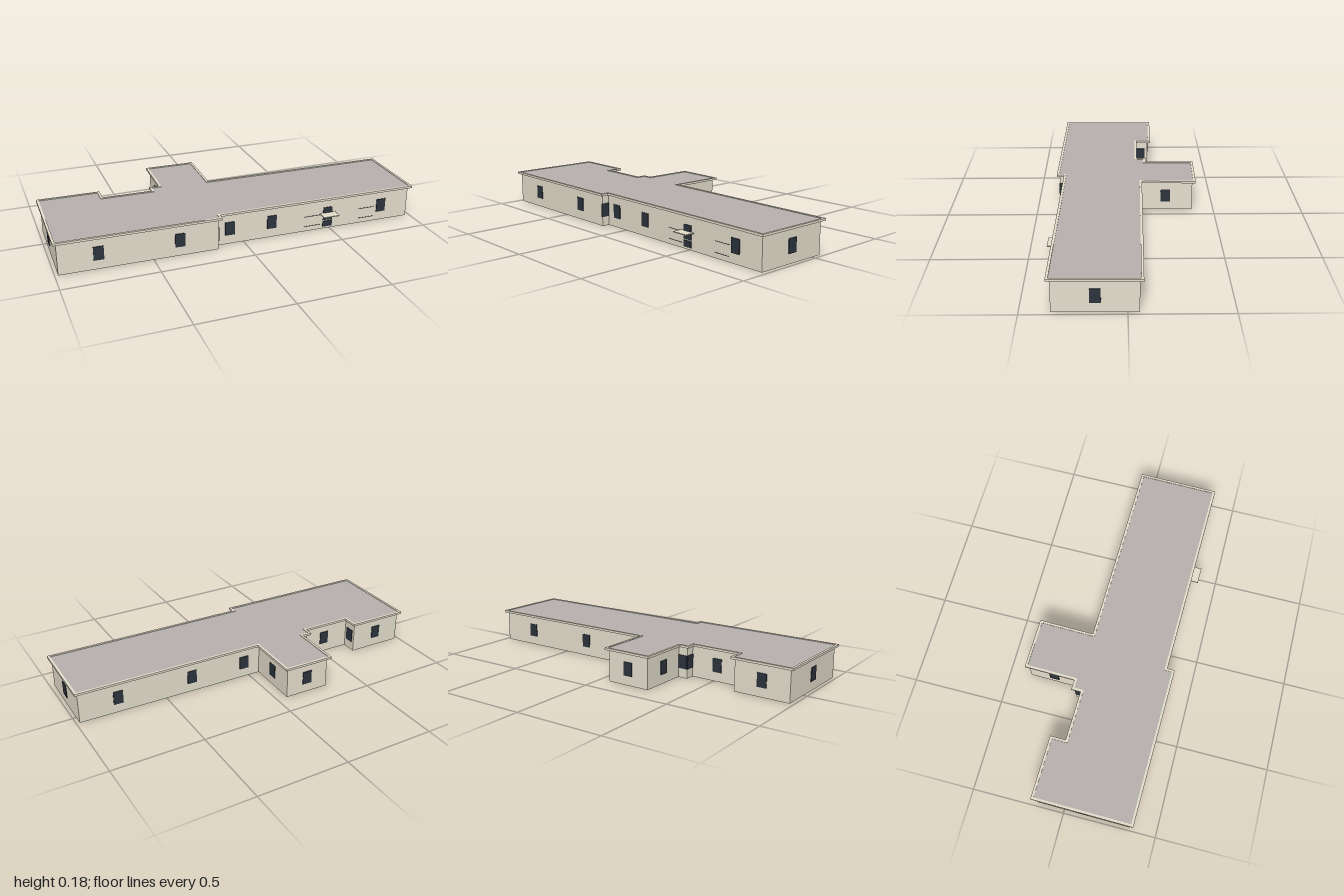
import * as THREE from 'three';

// Roof edge seen from above as [x, z], clockwise from the back left corner
const OUTLINE = [
  [-0.995, -0.167], [-0.652, -0.16], [-0.654, -0.076], [-0.382, -0.07],
  [-0.381, -0.122], [-0.327, -0.12], [-0.322, -0.399], [-0.042, -0.393],
  [-0.047, -0.092], [0.999, -0.072], [0.993, 0.371], [-0.137, 0.35],
  [-0.138, 0.391], [-1.0, 0.376],
].map(([x, z]) => new THREE.Vector2(x, z));

const normalOf = (a, b) => new THREE.Vector2(b.y - a.y, a.x - b.x).normalize();

// Moves every side of the outline inward by d
function inset(points, d) {
  const n = points.length;
  return points.map((p, i) => {
    const n1 = normalOf(points[(i + n - 1) % n], p);
    const n2 = normalOf(p, points[(i + 1) % n]);
    return p.clone().addScaledVector(n1.clone().add(n2), -d / (1 + n1.dot(n2)));
  });
}

// Upright prism over an outline, optionally hollow (the hole runs the other way round)
function prism(outer, y0, y1, hole) {
  const flip = (pts) => pts.map((p) => new THREE.Vector2(p.x, -p.y));
  const shape = new THREE.Shape(flip(outer));
  if (hole) shape.holes.push(new THREE.Path(flip(hole).reverse()));
  const g = new THREE.ExtrudeGeometry(shape, { depth: y1 - y0, bevelEnabled: false });
  return g.rotateX(-Math.PI / 2).translate(0, y0, 0);
}

export function createModel() {
  const group = new THREE.Group();
  const mat = (name, color) => {
    const m = new THREE.MeshStandardMaterial({ color });
    m.name = name;
    return m;
  };
  const wallMat = mat('beige render', 0xe6e0ce);
  const roofMat = mat('grey roofing', 0xb8b3af);
  const glassMat = mat('dark glass', 0x2c343d);

  const add = (name, geometry, material) => {
    const mesh = new THREE.Mesh(geometry, material);
    mesh.name = name;
    group.add(mesh);
    return mesh;
  };

  // Hollow walls, open underneath
  const walls = inset(OUTLINE, 0.017);
  add('walls', prism(walls, 0, 0.171, inset(walls, 0.003)), wallMat);

  // Overhanging roof: soffit slab, raised rim and recessed deck
  const deckEdge = inset(OUTLINE, 0.013);
  add('roofSlab', prism(OUTLINE, 0.171, 0.172), [roofMat, wallMat]);
  add('roofRim', prism(OUTLINE, 0.172, 0.183, deckEdge), wallMat);
  add('roofDeck', prism(deckEdge, 0.172, 0.18), roofMat);

  // Box fixed to the outside of a wall; t runs along that wall from 0 to 1
  function onWall(name, side, t, y0, y1, width, depth, material) {
    const a = walls[side], b = walls[(side + 1) % walls.length];
    const n = normalOf(a, b);
    const p = a.clone().lerp(b, t).addScaledVector(n, depth / 2 - 0.001);
    const mesh = add(name, new THREE.BoxGeometry(width, y1 - y0, depth), material);
    mesh.position.set(p.x, (y0 + y1) / 2, p.y);
    mesh.rotation.y = Math.atan2(n.x, n.y);
  }
  // Wall fraction for a given x
  const atX = (side, x) => {
    const a = walls[side], b = walls[(side + 1) % walls.length];
    return (x - a.x) / (b.x - a.x);
  };

  // Windows: one in the middle of each short wall, several along the long ones
  const longWalls = {
    8: [0.03, 0.348, 0.768],
    10: [-0.076, 0.16, 0.487, 0.812],
    12: [-0.778, -0.36],
  };
  walls.forEach((_, side) => {
    const spots = longWalls[side] ? longWalls[side].map((x) => atX(side, x)) : [0.5];
    for (const t of spots) onWall('window', side, t, 0.051, 0.125, 0.053, 0.005, glassMat);
  });

  // Entrance: lower door panel, canopy and thin dark rails on both sides
  const front = 10;
  onWall('doorPanel', front, atX(front, 0.487), 0.012, 0.045, 0.056, 0.005, glassMat);
  onWall('canopy', front, atX(front, 0.486), 0.088, 0.093, 0.09, 0.056, wallMat);
  for (const x of [0.398, 0.724]) {
    for (const y of [0.027, 0.084]) {
      onWall('sideRail', front, atX(front, x), y, y + 0.002, 0.094, 0.003, glassMat);
    }
  }
  return group;
}
